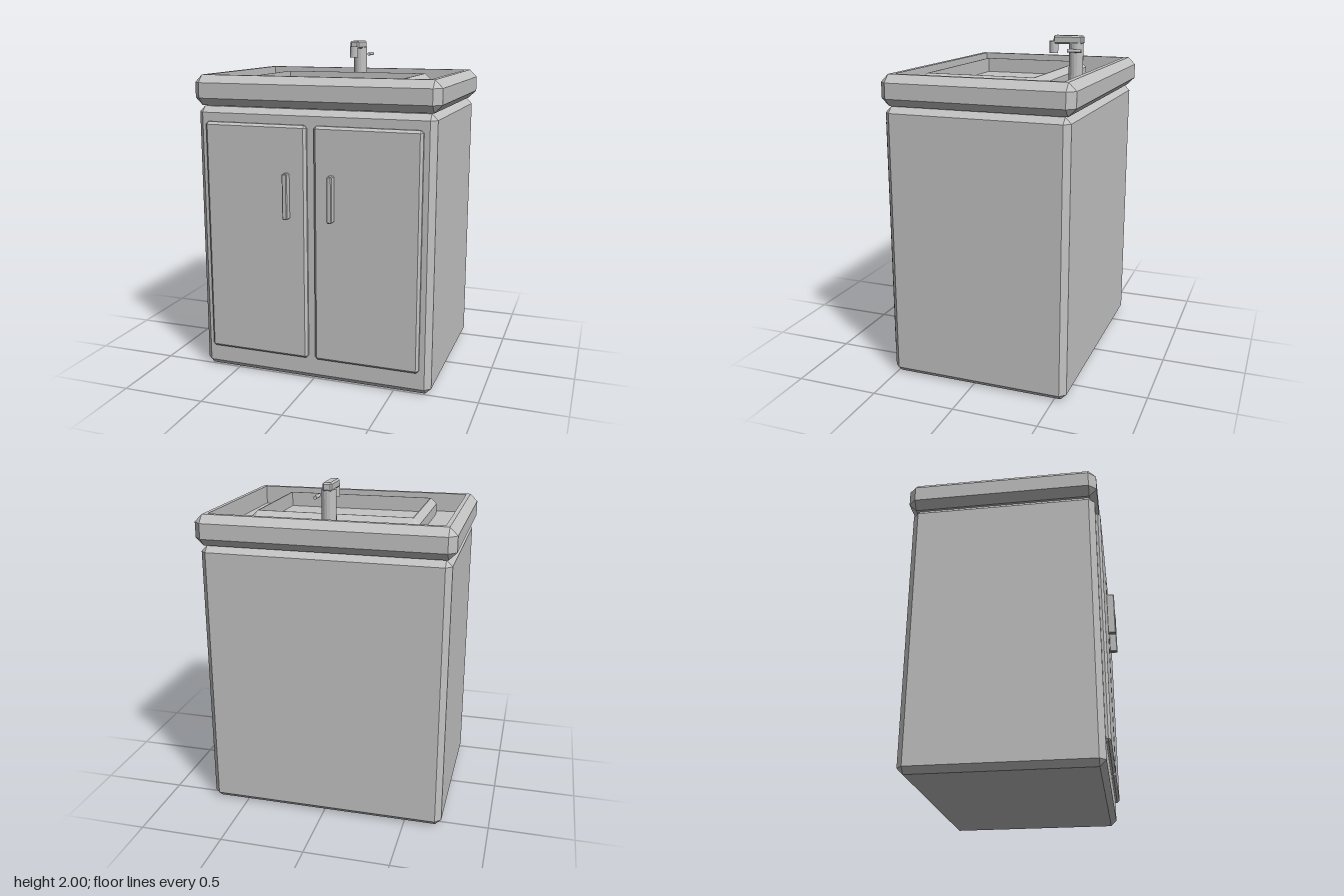
import * as THREE from 'three';

// Stacked rectangular sections [halfX, halfZ, y, cornerCut], capped at both ends, flat shaded
function loft(levels) {
  const rings = levels.map(([x, z, y, c]) => [
    [x, -(z - c)], [x, z - c], [x - c, z], [-(x - c), z],
    [-x, z - c], [-x, -(z - c)], [-(x - c), -z], [x - c, -z],
  ].map(([px, pz]) => new THREE.Vector3(px, y, pz)));
  const pos = [];
  const tri = (a, b, c) => {
    const area = b.clone().sub(a).cross(c.clone().sub(a)).length();
    if (area > 1e-9) for (const p of [a, b, c]) pos.push(p.x, p.y, p.z);
  };
  for (let i = 0; i + 1 < rings.length; i++) {
    for (let j = 0; j < 8; j++) {
      const k = (j + 1) % 8, lo = rings[i], hi = rings[i + 1];
      tri(lo[j], hi[j], lo[k]);
      tri(lo[k], hi[j], hi[k]);
    }
  }
  const first = rings[0], last = rings[rings.length - 1];
  for (let j = 1; j < 7; j++) {
    tri(first[0], first[j], first[j + 1]);
    tri(last[0], last[j + 1], last[j]);
  }
  const geo = new THREE.BufferGeometry();
  geo.setAttribute('position', new THREE.Float32BufferAttribute(pos, 3));
  geo.computeVertexNormals();
  return geo;
}

// Sections of a chamfered block, from bottom to top
const blockLevels = (hx, hz, y0, y1, b) => [
  [hx - b, hz - b, y0, 0], [hx, hz, y0 + b, b], [hx, hz, y1 - b, b], [hx - b, hz - b, y1, 0],
];

export function createModel() {
  const group = new THREE.Group();
  const grey = new THREE.MeshStandardMaterial({ color: 0xc4c4c4 });
  grey.name = 'light grey';

  const add = (name, geo, x = 0, y = 0, z = 0, parent = group) => {
    const mesh = new THREE.Mesh(geo, grey);
    mesh.name = name;
    mesh.position.set(x, y, z);
    parent.add(mesh);
    return mesh;
  };
  const block = (name, x0, x1, y0, y1, z0, z1, b, parent) =>
    add(name, loft(blockLevels((x1 - x0) / 2, (z1 - z0) / 2, y0, y1, b)),
      (x0 + x1) / 2, 0, (z0 + z1) / 2, parent);
  const rod = (r, h, sides = 16) => {
    const geo = new THREE.CylinderGeometry(r, r, h, sides).toNonIndexed();
    geo.computeVertexNormals();
    return geo;
  };

  // Cabinet body
  block('cabinet', -0.722, 0.722, 0, 1.632, -0.57, 0.52, 0.035);

  // Doors and their handles
  for (const [side, x0, x1, hx] of [['right', -0.66, -0.025, -0.14], ['left', 0.02, 0.655, 0.132]]) {
    block(side + 'Door', x0, x1, 0.14, 1.545, 0.5, 0.548, 0.015);
    block(side + 'Handle', hx - 0.015, hx + 0.015, 1.0, 1.27, 0.545, 0.595, 0.005);
  }

  // Countertop with raised rim and sunken floor
  add('countertop', loft([
    ...blockLevels(0.745, 0.567, 1.635, 1.815, 0.045),
    [0.675, 0.493, 1.815, 0], [0.675, 0.493, 1.7, 0],
  ]), 0, 0, -0.032);

  // Basin standing on the sunken floor
  add('basin', loft([
    [0.5, 0.3625, 1.69, 0.036], [0.5, 0.3625, 1.765, 0.036], [0.464, 0.3265, 1.8, 0],
    [0.458, 0.3205, 1.8, 0], [0.458, 0.3205, 1.71, 0],
  ]), 0, 0, 0.0375);

  // Faucet
  const faucet = new THREE.Group();
  faucet.name = 'faucet';
  group.add(faucet);
  add('faucetColumn', rod(0.043, 0.265), 0, 1.8275, -0.39, faucet);
  block('spout', -0.028, 0.028, 1.95, 2.0, -0.435, -0.255, 0.009, faucet);
  add('spoutTip', rod(0.027, 0.07), 0, 1.93, -0.25, faucet);
  add('lever', rod(0.01, 0.085, 12), 0.067, 1.915, -0.397, faucet).rotation.x = Math.PI / 2;

  return group;
}
